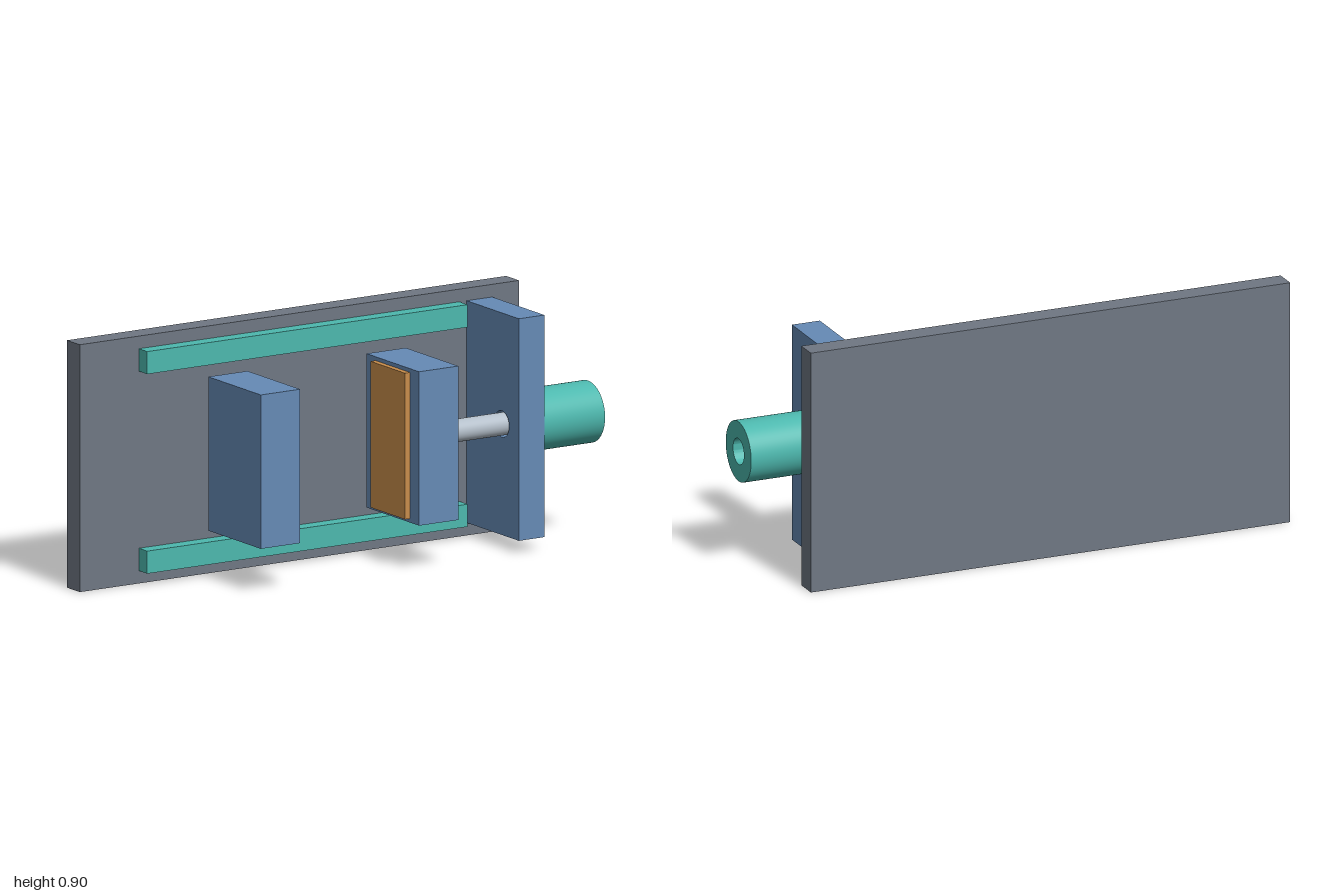
import * as THREE from 'three';
import { toCreasedNormals } from 'three/addons/utils/BufferGeometryUtils.js';

const material = (name, color) => {
  const m = new THREE.MeshStandardMaterial({ color });
  m.name = name;
  return m;
};

export function createModel() {
  const grey = material('slate grey', 0x6f7783);
  const blue = material('steel blue', 0x658ab5);
  const teal = material('teal', 0x4db8ae);
  const copper = material('copper', 0xc88d4b);
  const silver = material('silver', 0xb4bfca);

  const group = new THREE.Group();
  group.name = 'clampFixture';

  const add = (name, geometry, mat) => {
    const mesh = new THREE.Mesh(geometry, mat);
    mesh.name = name;
    group.add(mesh);
    return mesh;
  };
  // Box given by its limits on each axis
  const box = (name, [x0, x1], [y0, y1], [z0, z1], mat) =>
    add(name, new THREE.BoxGeometry(x1 - x0, y1 - y0, z1 - z0), mat)
      .position.set((x0 + x1) / 2, (y0 + y1) / 2, (z0 + z1) / 2);

  const axisY = 0.45, axisZ = 0.072, bore = 0.048;

  // Upright base plate and the two guide rails
  box('basePlate', [-1, 0.857], [0, 0.9], [-0.24, -0.156], grey);
  box('lowerRail', [-0.75, 0.605], [0.046, 0.128], [-0.156, -0.102], teal);
  box('upperRail', [-0.75, 0.605], [0.772, 0.854], [-0.156, -0.102], teal);

  // Fixed and moving jaws with their facing pads
  box('fixedJaw', [-0.492, -0.326], [0.17, 0.73], [-0.102, 0.24], blue);
  box('movingJaw', [0.177, 0.343], [0.17, 0.73], [-0.102, 0.24], blue);
  box('fixedPad', [-0.326, -0.305], [0.184, 0.716], [-0.043, 0.181], copper);
  box('movingPad', [0.156, 0.177], [0.184, 0.716], [-0.043, 0.181], copper);

  // End block, bored for the rod (outline drawn with horizontal = -z)
  const outline = new THREE.Shape([
    new THREE.Vector2(-0.183, 0.046), new THREE.Vector2(0.156, 0.046),
    new THREE.Vector2(0.156, 0.854), new THREE.Vector2(-0.183, 0.854),
  ]);
  outline.holes.push(new THREE.Path().absarc(-axisZ, axisY, bore, 0, Math.PI * 2, true));
  const block = new THREE.ExtrudeGeometry(outline, { depth: 0.108, bevelEnabled: false, curveSegments: 24 });
  block.rotateY(Math.PI / 2);
  add('endBlock', toCreasedNormals(block, 0.6), blue).position.x = 0.636;

  // Push rod from the moving jaw through the end block
  const rod = new THREE.CylinderGeometry(0.041, 0.041, 0.401, 48);
  rod.rotateZ(-Math.PI / 2);
  add('pushRod', rod, silver).position.set(0.5435, axisY, axisZ);

  // Hollow drive collar
  const profile = [[bore, 0], [0.112, 0], [0.112, 0.256], [bore, 0.256], [bore, 0]];
  const collar = new THREE.LatheGeometry(profile.map(([r, h]) => new THREE.Vector2(r, h)), 64);
  collar.rotateZ(-Math.PI / 2);
  add('driveCollar', toCreasedNormals(collar, 0.6), teal).position.set(0.744, axisY, axisZ);

  return group;
}
